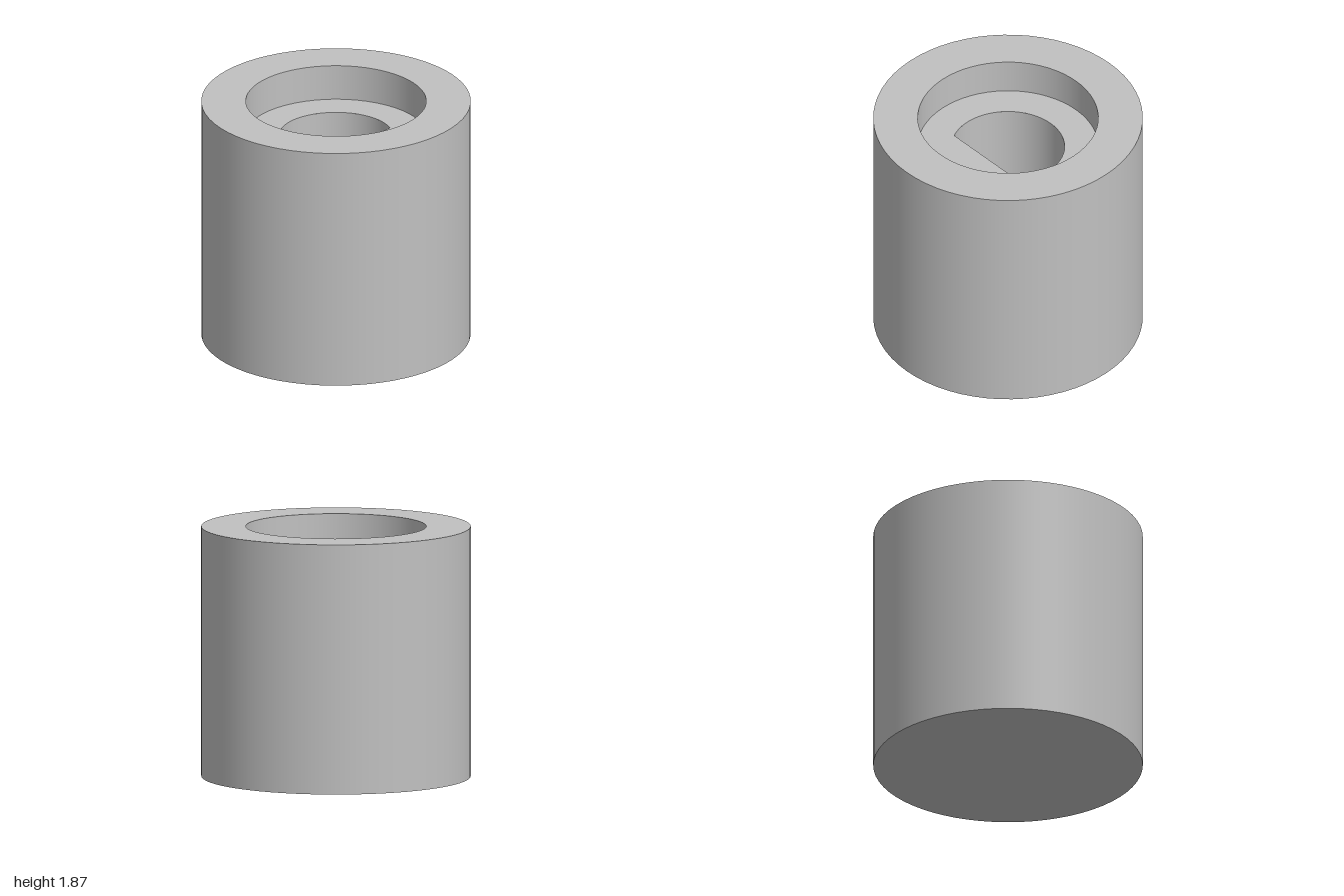
import * as THREE from 'three';

const HEIGHT = 1.87, RADIUS = 1;
const RECESS_RADIUS = 0.67, RECESS_Y = 1.6;
const BORE_RADIUS = 0.42, BORE_FLAT = 0.214, BORE_Y = 0.27;
const SEGMENTS = 64;

// D-shaped outline with its flat towards the front (+z once laid down)
function dOutline(path) {
  const a = Math.asin(BORE_FLAT / BORE_RADIUS);
  path.absarc(0, 0, BORE_RADIUS, -a, Math.PI + a, false);
  path.closePath();
  return path;
}

// Open round wall between two heights
function wall(radius, y0, y1, start = 0, sweep = Math.PI * 2) {
  return new THREE.CylinderGeometry(radius, radius, y1 - y0, SEGMENTS, 1, true, start, sweep)
    .translate(0, (y0 + y1) / 2, 0);
}

// Flat face laid horizontally, facing up
function level(geometry, y) {
  return geometry.rotateX(-Math.PI / 2).translate(0, y, 0);
}

export function createModel() {
  const group = new THREE.Group();
  group.name = 'knob';
  const grey = new THREE.MeshStandardMaterial({ color: 0xc0c0c0, side: THREE.DoubleSide });
  grey.name = 'grey';
  const add = (name, geometry) => {
    const mesh = new THREE.Mesh(geometry, grey);
    mesh.name = name;
    group.add(mesh);
  };

  // Outer body
  add('outerWall', wall(RADIUS, 0, HEIGHT));
  add('base', new THREE.CircleGeometry(RADIUS, SEGMENTS).rotateX(Math.PI / 2));
  add('topRim', level(new THREE.RingGeometry(RECESS_RADIUS, RADIUS, SEGMENTS), HEIGHT));

  // Round recess with a D-shaped opening in its floor
  add('recessWall', wall(RECESS_RADIUS, RECESS_Y, HEIGHT));
  const floor = new THREE.Shape().absarc(0, 0, RECESS_RADIUS, 0, Math.PI * 2, false);
  floor.holes.push(dOutline(new THREE.Path()));
  add('recessFloor', level(new THREE.ShapeGeometry(floor, SEGMENTS), RECESS_Y));

  // Blind D-shaped shaft bore
  const start = Math.acos(BORE_FLAT / BORE_RADIUS);
  add('boreWall', wall(BORE_RADIUS, BORE_Y, RECESS_Y, start, 2 * (Math.PI - start)));
  const flatWidth = 2 * Math.sqrt(BORE_RADIUS ** 2 - BORE_FLAT ** 2);
  add('boreFlat', new THREE.PlaneGeometry(flatWidth, RECESS_Y - BORE_Y)
    .rotateY(Math.PI).translate(0, (RECESS_Y + BORE_Y) / 2, BORE_FLAT));
  add('boreFloor', level(new THREE.ShapeGeometry(dOutline(new THREE.Shape()), SEGMENTS), BORE_Y));

  return group;
}
